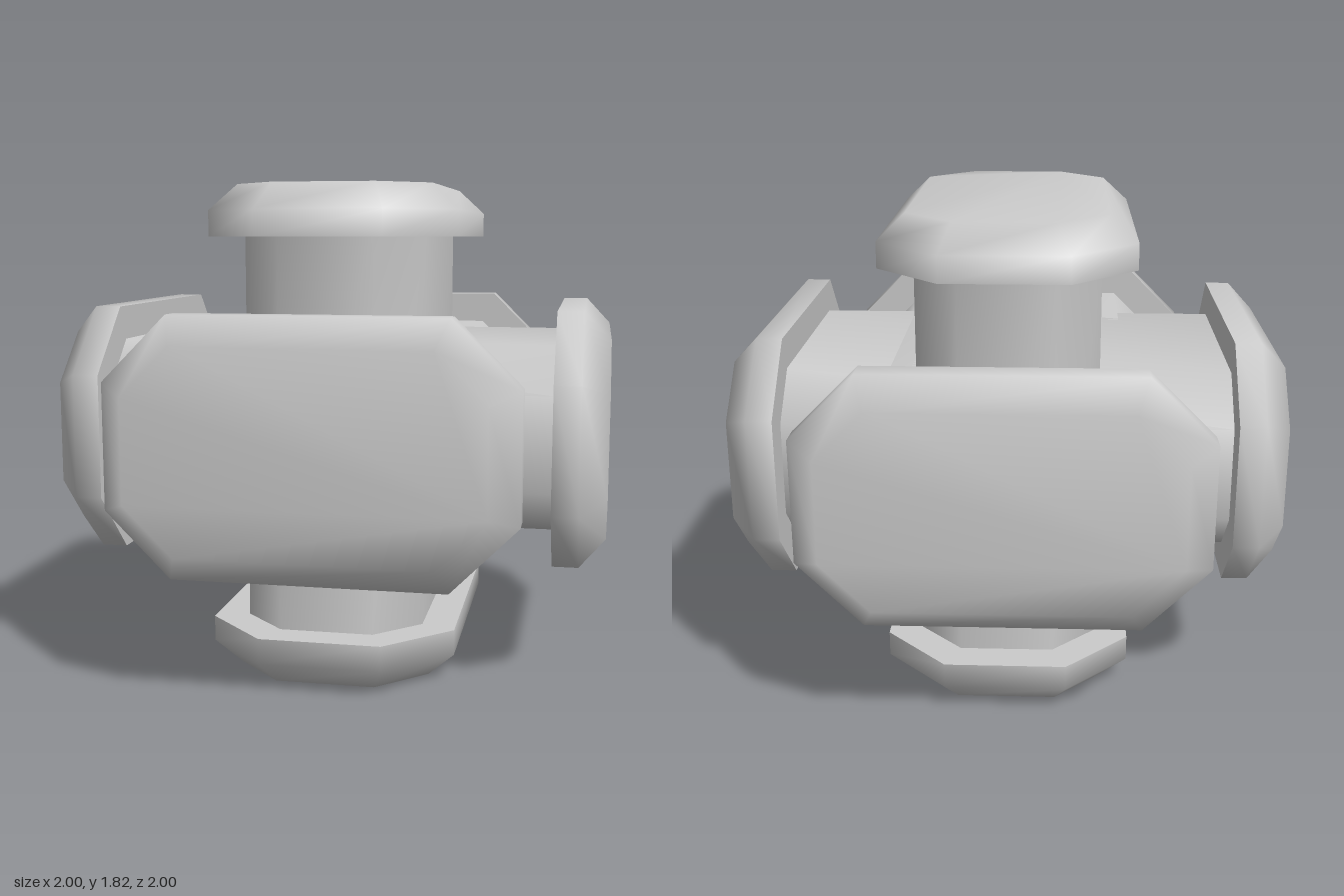
import * as THREE from 'three';

const HALF_LONG = 0.72, HALF_SHORT = 0.46, CORNER = 0.235;
const CENTER_Y = 0.91;

// Long octagon (counter-clockwise), with every side moved inward by `inset`
function octagon(inset) {
  const w = HALF_LONG - inset, h = HALF_SHORT - inset;
  const k = inset * Math.tan(Math.PI / 8);
  const fw = HALF_LONG - CORNER - k, fh = HALF_SHORT - CORNER - k;
  return [
    [w, -fh], [w, fh], [fw, h], [-fw, h],
    [-w, fh], [-w, -fh], [-fw, -h], [fw, -h],
  ].map(([x, y]) => new THREE.Vector2(x, y));
}

// Joins octagons along z with smooth normals; sections are [z, inset]
function loft(sections, capped) {
  const positions = [], index = [];
  for (const [z, inset] of sections) {
    for (const p of octagon(inset)) positions.push(p.x, p.y, z);
  }
  for (let s = 0; s < sections.length - 1; s++) {
    for (let i = 0; i < 8; i++) {
      const j = (i + 1) % 8, a = s * 8, b = a + 8;
      index.push(a + i, a + j, b + j, a + i, b + j, b + i);
    }
  }
  if (capped) {
    const t = (sections.length - 1) * 8;
    for (let i = 1; i < 7; i++) index.push(t, t + i, t + i + 1);
  }
  const geometry = new THREE.BufferGeometry();
  geometry.setAttribute('position', new THREE.Float32BufferAttribute(positions, 3));
  geometry.setIndex(index);
  geometry.computeVertexNormals();
  return geometry;
}

export function createModel() {
  const model = new THREE.Group();
  model.name = 'sixArmBlock';
  const material = new THREE.MeshStandardMaterial({ color: 0xcccccc });

  const stemGeometry = loft([[-0.815, 0.125], [0.815, 0.125]], false);
  const plateGeometry = loft([[0.81, 0], [0.905, 0], [1, 0.1]], true);
  const undersideGeometry = new THREE.ShapeGeometry(new THREE.Shape(octagon(0)));
  undersideGeometry.rotateY(Math.PI).translate(0, 0, 0.81);

  const add = (parent, name, geometry) => {
    const mesh = new THREE.Mesh(geometry, material);
    mesh.name = name;
    parent.add(mesh);
  };

  // Each arm pair: long, short and outward directions, and its two end names
  const X = new THREE.Vector3(1, 0, 0);
  const Y = new THREE.Vector3(0, 1, 0);
  const Z = new THREE.Vector3(0, 0, 1);
  const arms = [
    { name: 'sideArms', axes: [Z.clone().negate(), Y, X], ends: ['leftPlate', 'rightPlate'], height: 1 },
    { name: 'verticalArms', axes: [Z, X, Y], ends: ['topPlate', 'bottomPlate'], height: 0.91 },
    { name: 'lengthArms', axes: [X, Y, Z], ends: ['frontPlate', 'backPlate'], height: 1 },
  ];

  for (const { name, axes, ends, height } of arms) {
    const pair = new THREE.Group();
    pair.name = name;
    pair.quaternion.setFromRotationMatrix(new THREE.Matrix4().makeBasis(...axes));
    pair.position.y = CENTER_Y;

    // Octagonal stem running right through the core
    add(pair, 'stem', stemGeometry);

    // Bevelled plate on either end, set closer in on the vertical arms
    ends.forEach((endName, i) => {
      const end = new THREE.Group();
      end.name = endName;
      end.rotation.y = i * Math.PI;
      end.position.z = (height - 1) * (i ? -1 : 1);
      add(end, 'plate', plateGeometry);
      add(end, 'plateUnderside', undersideGeometry);
      pair.add(end);
    });

    // Shorten the vertical stem so that it ends at its plates
    pair.children[0].scale.z = (height - 0.185) / 0.815;
    model.add(pair);
  }
  return model;
}
